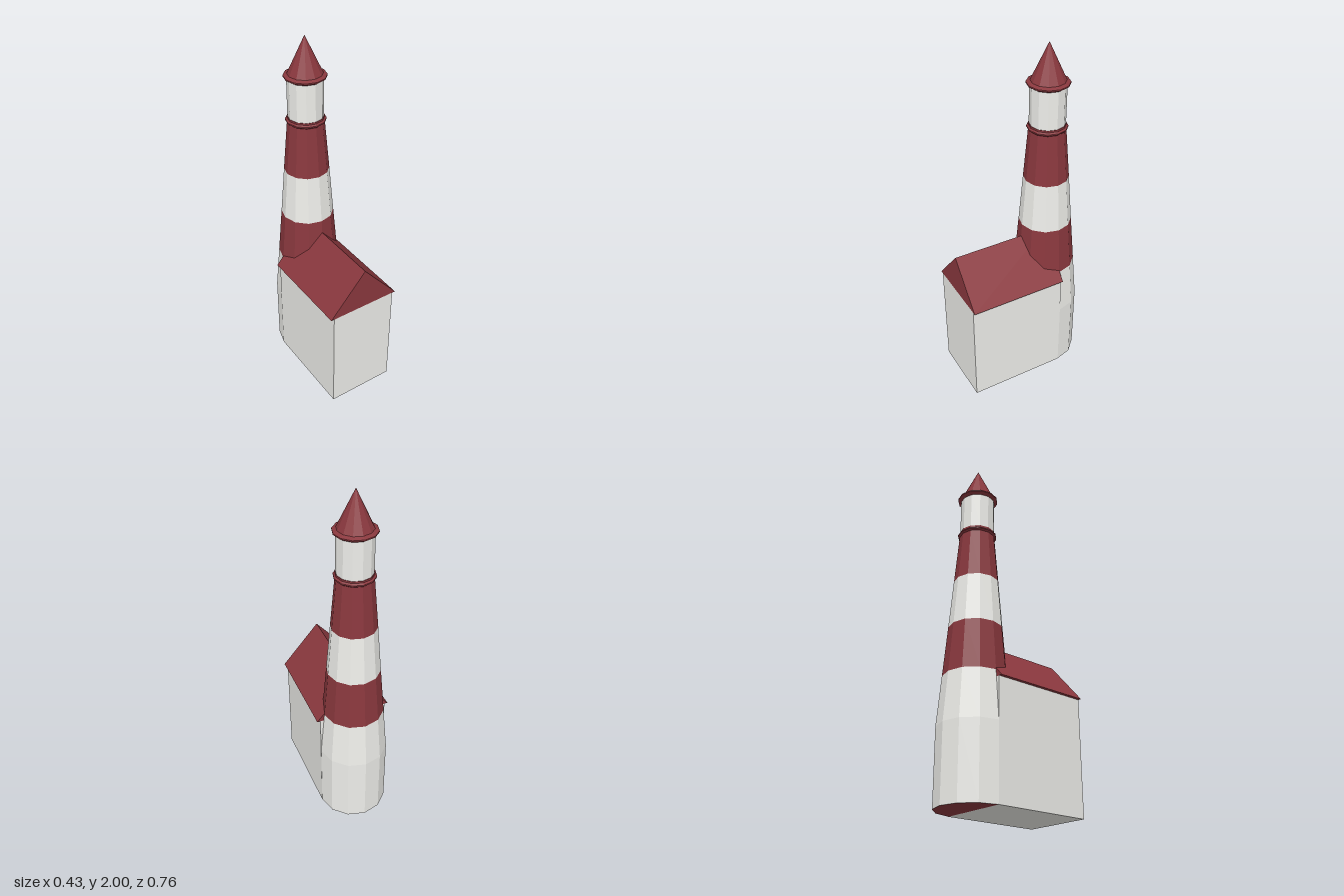
import * as THREE from 'three';

const RED = new THREE.MeshStandardMaterial({ color: 0x8a383e, flatShading: true });
const WHITE = new THREE.MeshStandardMaterial({ color: 0xeeeeea, flatShading: true });
const TOWER_Z = -0.185;
const FRONT_Z = 0.38;
const SIDES = 12;

export function createModel() {
  const model = new THREE.Group();
  model.name = 'lighthouse';

  const add = (parent, name, geometry, material) => {
    const mesh = new THREE.Mesh(geometry, material);
    mesh.name = name;
    parent.add(mesh);
    return mesh;
  };

  // Tower: stacked faceted bands, each a [radius, height] profile
  const tower = new THREE.Group();
  tower.name = 'tower';
  tower.position.z = TOWER_Z;
  model.add(tower);
  const bands = [
    ['towerBase', WHITE, [[0.195, 0], [0.195, 0.41], [0.172, 0.68]]],
    ['lowerRedBand', RED, [[0.172, 0.68], [0.148, 0.96]]],
    ['whiteBand', WHITE, [[0.148, 0.96], [0.125, 1.24]]],
    ['upperRedBand', RED, [[0.125, 1.24], [0.1, 1.53]]],
    ['galleryRing', RED, [[0.1, 1.53], [0.11, 1.538], [0.11, 1.545], [0.1, 1.552], [0.1, 1.562], [0.097, 1.562]]],
    ['lanternRoom', WHITE, [[0.097, 1.562], [0.097, 1.775]]],
    ['towerRoof', RED, [[0.097, 1.772], [0.115, 1.784], [0.115, 1.791], [0.094, 1.8], [0, 2]]],
  ];
  for (const [name, material, profile] of bands) {
    const points = profile.map(([r, y]) => new THREE.Vector2(r, y));
    add(tower, name, new THREE.LatheGeometry(points, SIDES), material);
  }

  // Underside of the tower, the half that reaches behind the house
  const floor = add(tower, 'towerFloor', new THREE.CircleGeometry(0.195, SIDES / 2, Math.PI, Math.PI), RED);
  floor.rotation.x = Math.PI / 2;

  // House: plain block with a gabled prism roof
  const depth = FRONT_Z - TOWER_Z;
  const house = new THREE.Group();
  house.name = 'house';
  model.add(house);
  add(house, 'houseWalls', new THREE.BoxGeometry(0.392, 0.64, depth), WHITE)
    .position.set(0, 0.32, (FRONT_Z + TOWER_Z) / 2);

  const gable = new THREE.Shape([
    new THREE.Vector2(-0.215, 0.64),
    new THREE.Vector2(0.215, 0.64),
    new THREE.Vector2(0, 0.885),
  ]);
  add(house, 'houseRoof', new THREE.ExtrudeGeometry(gable, { depth, bevelEnabled: false }), RED)
    .position.z = TOWER_Z;

  return model;
}
